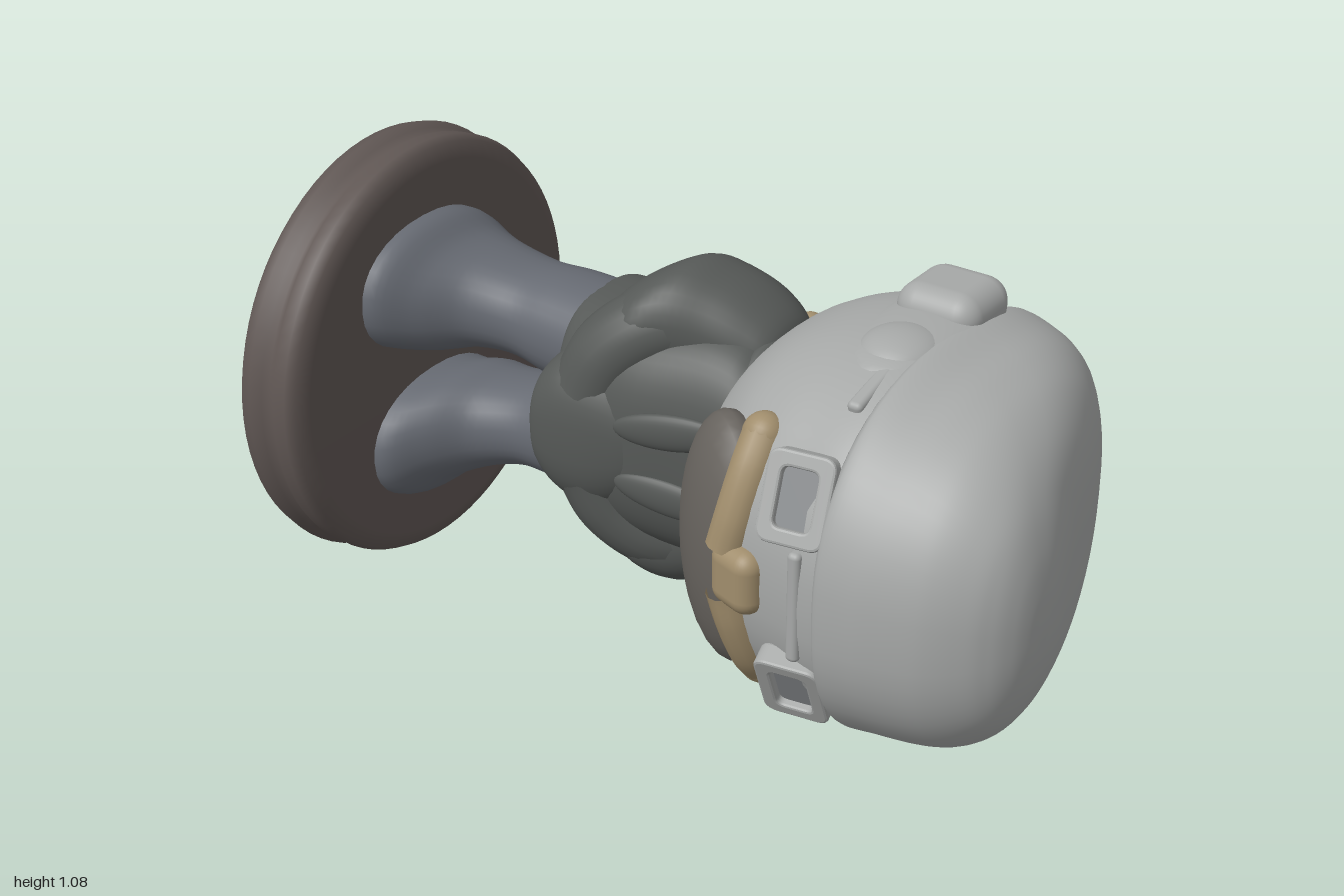
import * as THREE from 'three';
import { RoundedBoxGeometry } from 'three/addons/geometries/RoundedBoxGeometry.js';

const mat = (color) => new THREE.MeshStandardMaterial({ color, side: THREE.DoubleSide });
const stone = mat(0xa6a8a7), cloth = mat(0x565957), denim = mat(0x666a72),
  wood = mat(0x5f5653), beardMat = mat(0x67635e), straw = mat(0xa08d6c), lens = mat(0x85888a);

function add(parent, name, geometry, material, pos = [0, 0, 0], rot = [0, 0, 0]) {
  const mesh = new THREE.Mesh(geometry, material);
  mesh.name = name;
  mesh.position.set(...pos);
  mesh.rotation.set(...rot);
  parent.add(mesh);
  return mesh;
}

// Smooth body through superelliptic sections [y, centreX, halfWidth, zMin, zMax]
function loft(sections, power = 2.4, rows = 40, cols = 56) {
  const a = new THREE.CatmullRomCurve3(sections.map((s) => new THREE.Vector3(s[1], s[0], s[2])), false, 'centripetal');
  const b = new THREE.CatmullRomCurve3(sections.map((s) => new THREE.Vector3(s[3], s[0], s[4])), false, 'centripetal');
  const pos = [], idx = [];
  const bend = (v) => Math.sign(v) * Math.pow(Math.abs(v), 2 / power);
  for (let i = 0; i <= rows; i++) {
    const p = a.getPoint(i / rows), q = b.getPoint(i / rows);
    for (let j = 0; j < cols; j++) {
      const t = (j / cols) * Math.PI * 2;
      pos.push(p.x + p.z * bend(Math.cos(t)), p.y, (q.x + q.z) / 2 + ((q.z - q.x) / 2) * bend(Math.sin(t)));
      if (i === rows) continue;
      const k = i * cols + j, n = i * cols + ((j + 1) % cols);
      idx.push(k, k + cols, n, n, k + cols, n + cols);
    }
  }
  // end caps
  for (const [s, row] of [[sections[0], 0], [sections[sections.length - 1], rows]]) {
    const c = pos.length / 3;
    pos.push(s[1], s[0], (s[3] + s[4]) / 2);
    for (let j = 0; j < cols; j++) {
      const k = row * cols + j, n = row * cols + ((j + 1) % cols);
      if (row === 0) idx.push(c, k, n);
      else idx.push(c, n, k);
    }
  }
  const g = new THREE.BufferGeometry();
  g.setAttribute('position', new THREE.Float32BufferAttribute(pos, 3));
  g.setIndex(idx);
  g.computeVertexNormals();
  return g;
}

const ellipsoid = (x, y, z) => new THREE.SphereGeometry(1, 32, 20).scale(x, y, z);

// Rounded rectangular eyeglass rim
function rimGeometry(w, h, t) {
  const rect = (path, x, y) => {
    const r = 0.025;
    path.moveTo(-x + r, -y).lineTo(x - r, -y).quadraticCurveTo(x, -y, x, -y + r);
    path.lineTo(x, y - r).quadraticCurveTo(x, y, x - r, y);
    path.lineTo(-x + r, y).quadraticCurveTo(-x, y, -x, y - r);
    path.lineTo(-x, -y + r).quadraticCurveTo(-x, -y, -x + r, -y);
    return path;
  };
  const shape = rect(new THREE.Shape(), w, h);
  shape.holes.push(rect(new THREE.Path(), w - t, h - t));
  return new THREE.ExtrudeGeometry(shape, { depth: 0.04, bevelSize: 0.006, bevelThickness: 0.006, bevelSegments: 2 });
}

export function createModel() {
  const model = new THREE.Group();
  model.name = 'lyingFigurine';

  // The figurine is modelled upright, then laid on its side
  const figure = new THREE.Group();
  figure.name = 'figure';
  figure.rotation.z = -Math.PI / 2;
  figure.position.y = 0.546;
  model.add(figure);

  // Round, slightly tilted pedestal with a groove in the rim
  const rim = [[0, -0.975], [0.46, -0.975], [0.505, -0.967], [0.53, -0.945], [0.538, -0.915], [0.527, -0.888],
    [0.518, -0.872], [0.525, -0.855], [0.527, -0.82], [0.515, -0.797], [0.475, -0.785], [0, -0.785]];
  add(figure, 'pedestal', new THREE.LatheGeometry(rim.map((p) => new THREE.Vector2(...p)), 72), wood, [0.008, 0, -0.037], [-0.043, 0, 0]);

  // Trouser legs flaring into shoes
  for (const s of [-1, 1]) {
    add(figure, s > 0 ? 'rightLeg' : 'leftLeg', loft([
      [-0.82, s * 0.2, 0.16, -0.21, 0.28], [-0.75, s * 0.2, 0.155, -0.21, 0.26], [-0.69, s * 0.175, 0.135, -0.21, 0.19],
      [-0.62, s * 0.165, 0.118, -0.2, 0.11], [-0.52, s * 0.15, 0.11, -0.205, 0.07],
      [-0.42, s * 0.138, 0.125, -0.215, 0.07], [-0.25, s * 0.13, 0.13, -0.215, 0.08],
    ], 2.2, 28, 32), denim);
  }

  // Jacket with a broad straight hem behind, and a pouch that hangs lower in the middle of the front
  add(figure, 'jacket', loft([
    [-0.345, 0, 0.235, -0.26, 0.08], [-0.335, 0, 0.258, -0.286, 0.105], [-0.3, 0, 0.265, -0.295, 0.13], [-0.22, 0, 0.27, -0.293, 0.165],
    [-0.1, 0, 0.285, -0.285, 0.175], [0.05, 0, 0.295, -0.275, 0.15], [0.13, 0, 0.28, -0.262, 0.14],
    [0.18, 0, 0.25, -0.24, 0.14], [0.25, 0, 0.24, -0.22, 0.14],
  ], 2.7), cloth);
  add(figure, 'pouch', loft([
    [-0.36, 0, 0.1, -0.05, 0.165], [-0.345, 0, 0.14, -0.06, 0.192], [-0.29, 0, 0.185, -0.06, 0.208],
    [-0.2, 0, 0.195, -0.06, 0.205], [-0.12, 0, 0.16, -0.06, 0.185], [-0.06, 0, 0.1, -0.06, 0.16],
  ], 2.5, 24, 40), cloth);

  // Bent arms meeting over the belly
  for (const s of [-1, 1]) {
    const name = s > 0 ? 'right' : 'left';
    add(figure, name + 'UpperArm', loft([
      [-0.24, s * 0.22, 0.04, -0.09, 0.04], [-0.2, s * 0.235, 0.085, -0.15, 0.11], [-0.12, s * 0.26, 0.12, -0.19, 0.13],
      [-0.05, s * 0.275, 0.133, -0.215, 0.1], [0.03, s * 0.265, 0.12, -0.23, 0.06], [0.11, s * 0.24, 0.105, -0.23, 0.03],
      [0.17, s * 0.22, 0.075, -0.2, 0], [0.19, s * 0.21, 0.03, -0.15, -0.05],
    ], 2.2, 32, 32), cloth);
    const path = new THREE.CatmullRomCurve3([[0.28, -0.04, -0.02], [0.255, -0.12, 0.04], [0.19, -0.19, 0.08],
      [0.1, -0.23, 0.1]].map(([x, y, z]) => new THREE.Vector3(s * x, y, z)));
    add(figure, name + 'Forearm', new THREE.TubeGeometry(path, 24, 0.095, 20), cloth);
    add(figure, name + 'Lapel', ellipsoid(0.045, 0.14, 0.02), cloth, [s * 0.085, 0.02, 0.152], [-0.18, 0, -s * 0.12]);
  }
  add(figure, 'collar', new THREE.TorusGeometry(1, 0.11, 12, 48).scale(0.255, 0.185, 0.25), cloth, [0, 0.16, -0.055], [Math.PI / 2, 0, 0]);
  for (const s of [-1, 1]) add(figure, 'collarTie', ellipsoid(0.035, 0.035, 0.035), straw, [s * 0.235, 0.15, -0.215]);

  // Head and domed cap
  add(figure, 'head', loft([
    [0.14, 0, 0.17, -0.19, 0.18], [0.165, 0, 0.25, -0.28, 0.245], [0.23, 0, 0.335, -0.375, 0.325], [0.31, 0, 0.39, -0.43, 0.4],
    [0.4, 0, 0.422, -0.475, 0.435], [0.5, 0, 0.432, -0.497, 0.455], [0.6, 0, 0.43, -0.508, 0.475], [0.68, 0, 0.41, -0.48, 0.46],
  ], 2.3), stone);
  add(figure, 'cap', loft([
    [0.6, 0, 0.425, -0.505, 0.47], [0.615, 0, 0.434, -0.514, 0.485], [0.7, 0, 0.417, -0.495, 0.488], [0.77, 0, 0.403, -0.435, 0.478],
    [0.84, 0, 0.375, -0.325, 0.46], [0.9, 0, 0.325, -0.17, 0.428], [0.95, 0, 0.25, 0.02, 0.385],
    [0.98, 0, 0.17, 0.115, 0.34], [0.995, 0, 0.09, 0.175, 0.295], [1, 0, 0.02, 0.22, 0.25],
  ], 2.4, 56, 64), stone);

  // Beard, moustache and nose, low on the face
  add(figure, 'beard', ellipsoid(0.3, 0.165, 0.1), beardMat, [0, 0.3, 0.315], [0.6, 0, 0]);
  add(figure, 'nose', new RoundedBoxGeometry(0.15, 0.13, 0.09, 4, 0.04), straw, [0, 0.4, 0.425], [0.3, 0, 0]);
  for (const s of [-1, 1]) {
    const curl = new THREE.CatmullRomCurve3([[0.05, 0.36, 0.415], [0.13, 0.375, 0.4], [0.22, 0.385, 0.365],
      [0.28, 0.385, 0.32]].map(([x, y, z]) => new THREE.Vector3(s * x, y, z)));
    add(figure, 'moustache', new THREE.TubeGeometry(curl, 16, 0.048, 14), straw);
    add(figure, 'moustacheTip', ellipsoid(0.048, 0.048, 0.048), straw, [s * 0.28, 0.385, 0.32]);
  }

  // Spectacles and ears
  const rims = rimGeometry(0.09, 0.068, 0.022);
  for (const s of [-1, 1]) {
    add(figure, 'spectacleRim', rims, stone, [s * 0.215, 0.53, 0.398], [-0.16, s * 0.42, 0]);
    add(figure, 'spectacleLens', new RoundedBoxGeometry(0.15, 0.11, 0.03, 3, 0.012), lens, [s * 0.22, 0.53, 0.41], [-0.16, s * 0.42, 0]);
    add(figure, 'spectacleArm', new RoundedBoxGeometry(0.03, 0.035, 0.2, 3, 0.012), stone, [s * 0.394, 0.565, 0.18], [0, -s * 0.24, 0]);
    add(figure, 'ear', new RoundedBoxGeometry(0.12, 0.2, 0.2, 5, 0.055), stone, [s * 0.425, 0.54, -0.155]);
    add(figure, 'earLobe', ellipsoid(0.045, 0.09, 0.1), stone, [s * 0.405, 0.54, 0.05]);
    add(figure, 'earBacking', ellipsoid(0.045, 0.13, 0.24), stone, [s * 0.4, 0.54, -0.06]);
  }
  add(figure, 'spectacleBridge', new RoundedBoxGeometry(0.26, 0.03, 0.04, 3, 0.012), stone, [0, 0.555, 0.455]);

  return model;
}
